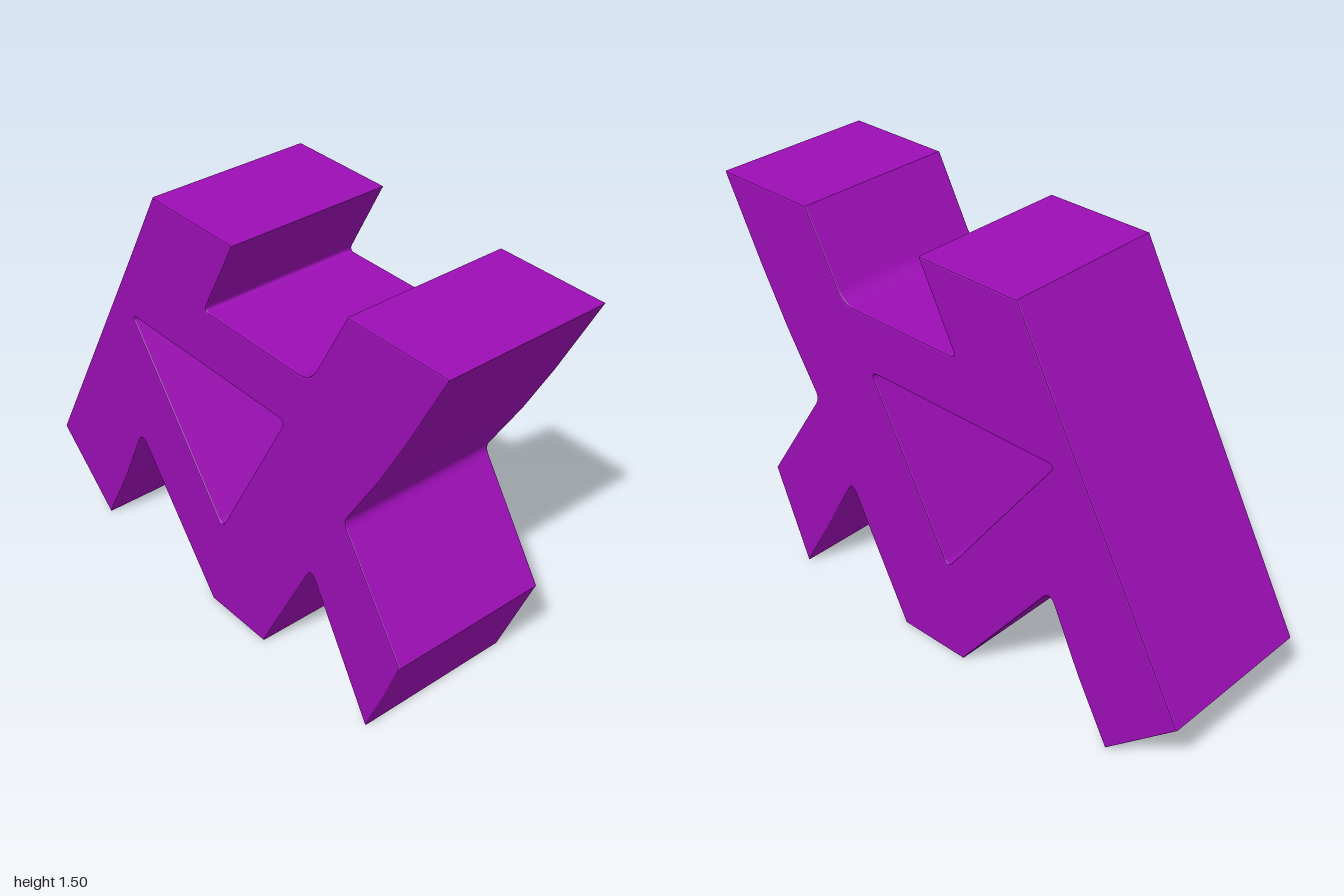
import * as THREE from 'three';

// Trace a closed polygon; each corner is [x, y, fillet length]
function trace(path, corners) {
  const n = corners.length;
  corners.forEach(([x, y, r = 0], i) => {
    const p = new THREE.Vector2(x, y);
    const towards = (q) => new THREE.Vector2(q[0], q[1]).sub(p).setLength(r).add(p);
    const a = r ? towards(corners[(i + n - 1) % n]) : p;
    if (i === 0) path.moveTo(a.x, a.y);
    else path.lineTo(a.x, a.y);
    if (r) {
      const b = towards(corners[(i + 1) % n]);
      path.quadraticCurveTo(x, y, b.x, b.y);
    }
  });
  path.closePath();
  return path;
}

export function createModel() {
  const group = new THREE.Group();
  group.name = 'interlockedBlock';

  const purple = new THREE.MeshStandardMaterial({ color: 0x9b0eb4 });
  purple.name = 'purple';

  // Outer silhouette: slanted bars with notches at top, bottom and side
  const outline = trace(new THREE.Shape(), [
    [-0.725, 0], [-0.6, 0.235], [-0.475, 0.505, 0.045],
    [-0.083, 0], [0.2, 0], [0.449, 0.485, 0.04],
    [0.725, 0.005], [0.868, 0.36], [0.598, 0.77, 0.03],
    [0.74, 1.0], [0.85, 1.2], [1, 1.495], [0.595, 1.495],
    [0.438, 1.2, 0.055], [-0.075, 1.2, 0.025],
    [0.077, 1.495], [-0.328, 1.495], [-0.48, 1.21], [-1, 0.25],
  ]);

  // Triangular opening through the middle
  outline.holes.push(trace(new THREE.Path(), [
    [-0.487, 0.99, 0.03], [-0.018, 0.363, 0.035], [0.32, 0.99, 0.035],
  ]));

  // Full-depth body with a fine edge bevel
  const bevel = 0.006;
  const geometry = new THREE.ExtrudeGeometry(outline, {
    depth: 0.61 - 2 * bevel,
    curveSegments: 6,
    bevelEnabled: true,
    bevelThickness: bevel,
    bevelSize: bevel,
    bevelOffset: -bevel,
    bevelSegments: 2,
  });
  geometry.translate(0, 0, -0.305 + bevel);

  const body = new THREE.Mesh(geometry, purple);
  body.name = 'body';
  group.add(body);
  return group;
}
